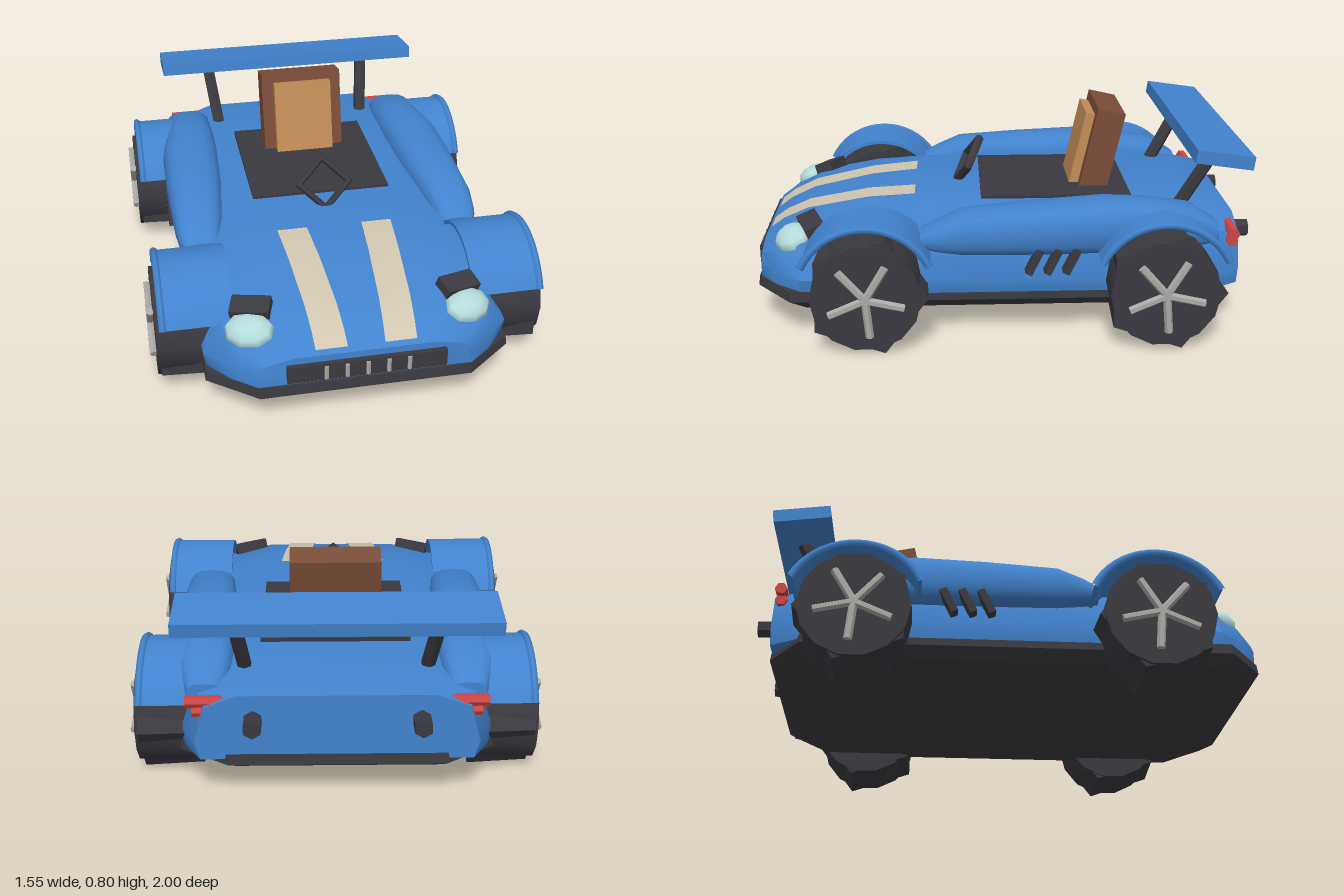
import * as THREE from 'three';
import { toCreasedNormals } from 'three/addons/utils/BufferGeometryUtils.js';

const mat = (name, color, side = THREE.FrontSide) => {
  const m = new THREE.MeshStandardMaterial({ color, side });
  m.name = name;
  return m;
};

// Skin over rings of [x, y, z], counter-clockwise seen from +z, in order of rising z
function loft(rings, crease = 0.7) {
  const n = rings[0].length, idx = [];
  rings.forEach((_, k) => {
    if (k === rings.length - 1) return;
    for (let i = 0; i < n; i++) {
      const j = (i + 1) % n, a = k * n + i, b = k * n + j, c = b + n, d = a + n;
      idx.push(a, b, c, a, c, d);
    }
  });
  const last = (rings.length - 1) * n;
  for (let i = 1; i < n - 1; i++) idx.push(0, i + 1, i, last, last + i, last + i + 1);
  const g = new THREE.BufferGeometry();
  g.setAttribute('position', new THREE.Float32BufferAttribute(rings.flat(2), 3));
  g.setIndex(idx);
  return toCreasedNormals(g, crease);
}

export function createModel() {
  const model = new THREE.Group();
  model.name = 'roadster';
  const blue = mat('bodyBlue', 0x4283ce);
  const black = mat('charcoal', 0x3a393f);
  const silver = mat('silver', 0xaaa9a5);
  const cream = mat('stripeCream', 0xcfc5b0, THREE.DoubleSide);
  const brown = mat('seatBrown', 0x7a4d38);
  const tan = mat('seatTan', 0xc28d58);
  const glass = mat('lampGlass', 0xb5dcdc);
  const red = mat('lampRed', 0xcc4545);

  const add = (name, geo, material, pos = [0, 0, 0], rot = [0, 0, 0], parent = model) => {
    const m = new THREE.Mesh(geo, material);
    m.name = name;
    m.position.set(...pos);
    m.rotation.set(...rot);
    parent.add(m);
    return m;
  };
  const box = (w, h, d) => new THREE.BoxGeometry(w, h, d);
  const rod = (name, a, b, r, sides, material, parent = model) => {
    const p = new THREE.Vector3(...a), q = new THREE.Vector3(...b);
    const g = toCreasedNormals(new THREE.CylinderGeometry(r, r, p.distanceTo(q), sides), 0.6);
    const m = add(name, g, material, [0, 0, 0], [0, 0, 0], parent);
    m.position.copy(p).lerp(q, 0.5);
    m.quaternion.setFromUnitVectors(new THREE.Vector3(0, 1, 0), q.sub(p).normalize());
    return m;
  };

  // Floor tray with cut corners
  const plan = [[0.4, 0.93], [-0.4, 0.93], [-0.585, 0.8], [-0.585, -0.84], [-0.4, -0.985], [0.4, -0.985], [0.585, -0.84], [0.585, 0.8]];
  const tray = loft([[0.12, 0.93], [0.16, 1], [0.2, 0.995]].map(([h, s]) => plan.map(([x, y]) => [x * s, y * s, h])), 0.4);
  tray.rotateX(-Math.PI / 2);
  add('floorTray', tray, black);

  // Body shell: z, sill width, waist width, shoulder width and height, deck width and height
  const stations = [
    [-0.92, 0.5, 0.52, 0.48, 0.39, 0.36, 0.435],
    [-0.8, 0.57, 0.58, 0.52, 0.41, 0.38, 0.455],
    [-0.5, 0.58, 0.6, 0.53, 0.42, 0.38, 0.47],
    [0.1, 0.58, 0.6, 0.53, 0.42, 0.35, 0.475],
    [0.35, 0.58, 0.6, 0.52, 0.42, 0.3, 0.475],
    [0.55, 0.58, 0.595, 0.51, 0.41, 0.3, 0.46],
    [0.8, 0.57, 0.585, 0.51, 0.365, 0.29, 0.41],
    [0.9, 0.49, 0.5, 0.45, 0.33, 0.28, 0.365],
    [0.97, 0.4, 0.41, 0.38, 0.29, 0.27, 0.315],
  ];
  add('bodyShell', loft(stations.map(([z, w0, w1, w2, y2, w3, y3]) => {
    const half = [[w0, 0.18], [w1, 0.25], [w2, y2], [w3, y3]];
    return [...half, ...half.map(([x, y]) => [-x, y]).reverse()].map(([x, y]) => [x, y, z]);
  }), 0.75), blue);

  // Side pods: z, inner x, outer x, bottom, top
  const podStations = [
    [-0.83, 0.42, 0.55, 0.36, 0.44], [-0.72, 0.39, 0.59, 0.34, 0.51], [-0.55, 0.385, 0.6, 0.335, 0.535],
    [-0.38, 0.385, 0.63, 0.335, 0.545], [-0.1, 0.4, 0.635, 0.335, 0.53], [0.17, 0.43, 0.63, 0.34, 0.51],
    [0.27, 0.45, 0.62, 0.355, 0.465], [0.33, 0.46, 0.6, 0.37, 0.435],
  ];
  const podRing = (s) => ([z, x0, x1, y0, y1]) => {
    const ring = [];
    for (let i = 0; i < 16; i++) {
      const a = (i / 16) * Math.PI * 2, c = Math.cos(a), t = Math.sin(a);
      const sq = (v) => Math.sign(v) * Math.abs(v) ** 0.7;
      ring.push([s * ((x0 + x1) / 2 + sq(c) * (x1 - x0) / 2), (y0 + y1) / 2 + sq(t) * (y1 - y0) / 2, z]);
    }
    return s < 0 ? ring.reverse() : ring;
  };

  // Arch over a wheel, extruded along x
  const archHalf = 1.12, archR = 0.27;
  const archShape = new THREE.Shape();
  archShape.absarc(0, 0, archR, Math.PI / 2 - archHalf, Math.PI / 2 + archHalf, false);
  archShape.absarc(0, 0, archR - 0.015, Math.PI / 2 + archHalf, Math.PI / 2 - archHalf, true);
  const archGeo = toCreasedNormals(new THREE.ExtrudeGeometry(archShape, { depth: 0.27, bevelEnabled: false, curveSegments: 14 }), 0.6);
  archGeo.translate(0, 0, -0.135).rotateY(Math.PI / 2);
  const lipGeo = new THREE.TorusGeometry(archR - 0.003, 0.015, 6, 18, archHalf * 2);
  lipGeo.rotateZ(Math.PI / 2 - archHalf).rotateY(Math.PI / 2);

  // Wheel pieces, axle along x
  const tireGeo = toCreasedNormals(new THREE.CylinderGeometry(0.21, 0.21, 0.25, 14), 0.6).rotateZ(-Math.PI / 2);
  const treadGeo = new THREE.CylinderGeometry(0.238, 0.226, 0.23, 5, 1, false, 1.868).toNonIndexed();
  treadGeo.rotateZ(-Math.PI / 2).computeVertexNormals();

  for (const s of [-1, 1]) {
    add('sidePod', loft(podStations.map(podRing(s)), 0.9), blue);

    for (const [end, z] of [['front', 0.535], ['rear', -0.595]]) {
      const wheel = new THREE.Group();
      wheel.name = end + 'Wheel';
      wheel.position.set(s * 0.625, 0.24, z);
      model.add(wheel);
      add('tire', tireGeo, black, [s * 0.003, 0, 0], [0, 0, 0], wheel);
      add('tread', treadGeo, black, [0, 0, 0], [0, 0, 0], wheel);
      for (let i = 0; i < 5; i++) {
        const a = -1.48 + (i * Math.PI * 2) / 5, x = s * 0.138;
        rod('spoke', [x, 0, 0], [x, Math.sin(a) * 0.15, -Math.cos(a) * 0.15], 0.016, 6, silver, wheel);
      }
      add(end + 'Fender', archGeo, blue, [s * 0.595, 0.24, z]);
      add(end + 'FenderLip', lipGeo, blue, [s * 0.727, 0.24, z]);
    }

    // Slanted vents on the flank
    for (let i = 0; i < 3; i++) {
      add('sideVent', box(0.05, 0.105, 0.028), black, [s * 0.612, 0.328, -0.105 - i * 0.072], [-0.45, 0, 0]);
    }

    // Headlight with its dark housing
    add('headlightHousing', box(0.15, 0.075, 0.08), black, [s * 0.395, 0.4, 0.76], [0.35, s * 0.3, -s * 0.2]);
    const lamp = add('headlight', new THREE.SphereGeometry(1, 9, 6), glass, [s * 0.415, 0.362, 0.835], [0.45, s * 0.35, -s * 0.2]);
    lamp.scale.set(0.097, 0.052, 0.075);

    // Tail lamp cluster
    [[0.4, 0.18], [0.365, 0.13], [0.33, 0.08]].forEach(([y, w]) =>
      rod('tailLight', [s * (0.46 - w / 2), y, -0.89], [s * (0.46 + w / 2), y, -0.89], 0.024, 6, red));

    rod('exhaust', [s * 0.305, 0.34, -0.86], [s * 0.305, 0.34, -1], 0.036, 6, black);
    rod('wingStrut', [s * 0.34, 0.44, -0.695], [s * 0.372, 0.7, -0.84], 0.028, 6, black);

    // Hood stripe, hugging the bonnet
    const pts = [[0.955, 0.331], [0.9, 0.371], [0.8, 0.416], [0.55, 0.466], [0.36, 0.481]];
    const pos = [], idx = [];
    pts.forEach(([z, y], i) => {
      const inner = 0.07 + (0.955 - z) * 0.07;
      pos.push(s * inner, y, z, s * (inner + 0.12), y, z);
      const k = i * 2;
      if (i) idx.push(...(s > 0 ? [k - 2, k - 1, k + 1, k - 2, k + 1, k] : [k - 2, k + 1, k - 1, k - 2, k, k + 1]));
    });
    const stripe = new THREE.BufferGeometry();
    stripe.setAttribute('position', new THREE.Float32BufferAttribute(pos, 3));
    stripe.setIndex(idx);
    stripe.computeVertexNormals();
    add('hoodStripe', stripe, cream);
  }

  // Grille
  add('grille', box(0.6, 0.07, 0.06), black, [0, 0.253, 0.96]);
  for (let i = -2; i <= 2; i++) rod('grilleBar', [i * 0.078, 0.225, 0.99], [i * 0.078, 0.28, 0.99], 0.009, 6, silver);

  // Cockpit, seat and steering wheel
  add('cockpitFloor', box(0.58, 0.04, 0.61), black, [0, 0.466, -0.215]);
  add('seatBack', box(0.35, 0.34, 0.115), brown, [0, 0.635, -0.413], [-0.22, 0, 0]);
  add('seatPad', box(0.25, 0.31, 0.04), tan, [0, 0.63, -0.335], [-0.22, 0, 0]);
  const ring = toCreasedNormals(new THREE.TorusGeometry(0.105, 0.019, 6, 4), 0.6);
  add('steeringWheel', ring, black, [0, 0.552, 0.14], [-0.5, 0, 0]);

  // Rear wing
  add('rearWing', box(1.17, 0.052, 0.225), blue, [0, 0.713, -0.83], [-0.14, 0, 0]);

  return model;
}
